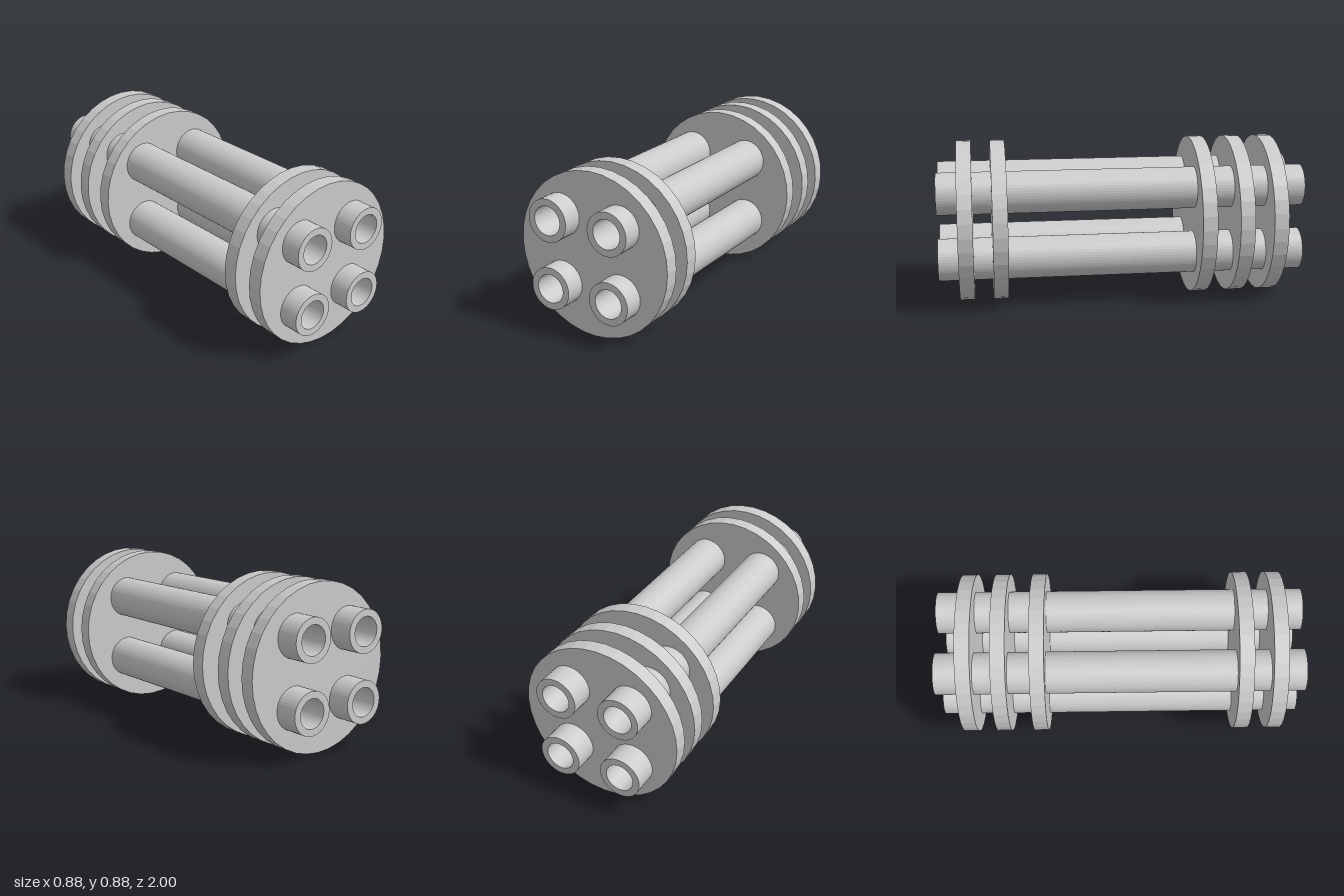
import * as THREE from 'three';

const CENTER_Y = 0.443;
// tube centres, on the front plane
const TUBES = [[-0.187, 0.628], [0.168, 0.628], [-0.185, 0.264], [0.168, 0.264]];
const TUBE_OUTER = 0.114;
const TUBE_BORE = 0.077;

// flat ring or plate with round holes, extruded along z and centred on z = 0
function drilledDisc(radius, depth, sides, holes) {
  const shape = new THREE.Shape().absarc(0, 0, radius, 0, Math.PI * 2, false);
  for (const [x, y, r] of holes) {
    shape.holes.push(new THREE.Path().absarc(x, y, r, 0, Math.PI * 2, true));
  }
  const geometry = new THREE.ExtrudeGeometry(shape, {
    depth, bevelEnabled: false, curveSegments: sides / 2,
  });
  return geometry.translate(0, 0, -depth / 2);
}

export function createModel() {
  const group = new THREE.Group();
  const material = new THREE.MeshStandardMaterial({ color: 0xcccccc });

  const add = (name, geometry, x, y, z) => {
    const mesh = new THREE.Mesh(geometry, material);
    mesh.name = name;
    mesh.position.set(x, y, z);
    group.add(mesh);
  };

  // four long open tubes
  const tube = drilledDisc(TUBE_OUTER, 2, 48, [[0, 0, TUBE_BORE]]);
  TUBES.forEach(([x, y], i) => add(`tube${i + 1}`, tube, x, y, 0));

  // round clamp plates, two near the front and three near the back
  const holes = TUBES.map(([x, y]) => [x, y - CENTER_Y, TUBE_OUTER - 0.012]);
  const plate = drilledDisc(0.441, 0.08, 36, holes);
  [0.85, 0.668, -0.44, -0.645, -0.83].forEach((z, i) => {
    add(`plate${i + 1}`, plate, 0, CENTER_Y, z);
  });

  return group;
}
